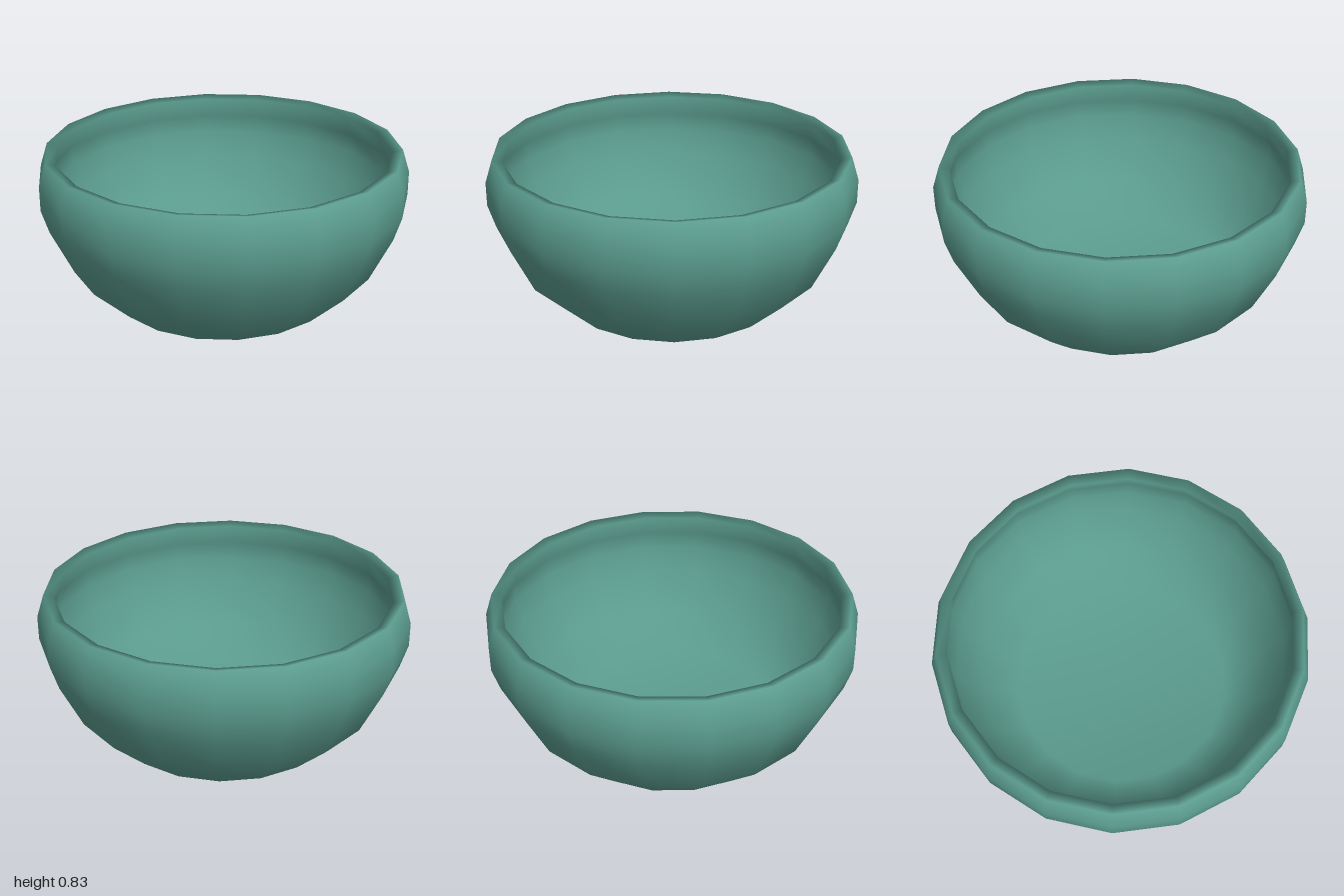
import * as THREE from 'three';

const SIDES = 18;

export function createModel() {
  const group = new THREE.Group();
  group.name = 'bowl';
  const material = new THREE.MeshStandardMaterial({ color: 0x5b9c8e });

  // Profile: up the outside, over the rim, down the inside to the centre
  const profile = [
    [0.63, 0], [0.84, 0.2], [0.96, 0.45], [1, 0.58], [1, 0.71], [0.96, 0.835],
    [0.905, 0.82], [0.945, 0.7], [0.945, 0.6], [0.905, 0.46], [0.79, 0.23],
    [0.6, 0.055], [0, 0.05],
  ].map(([r, y]) => new THREE.Vector2(r, y));

  // Smooth faceted wall, with a corner on the x axis
  const wall = new THREE.Mesh(
    new THREE.LatheGeometry(profile, SIDES, Math.PI / 2), material);
  wall.name = 'bowlWall';

  // Flat underside
  const base = new THREE.Mesh(
    new THREE.CircleGeometry(profile[0].x, SIDES).rotateX(Math.PI / 2), material);
  base.name = 'base';

  group.add(wall, base);
  return group;
}
